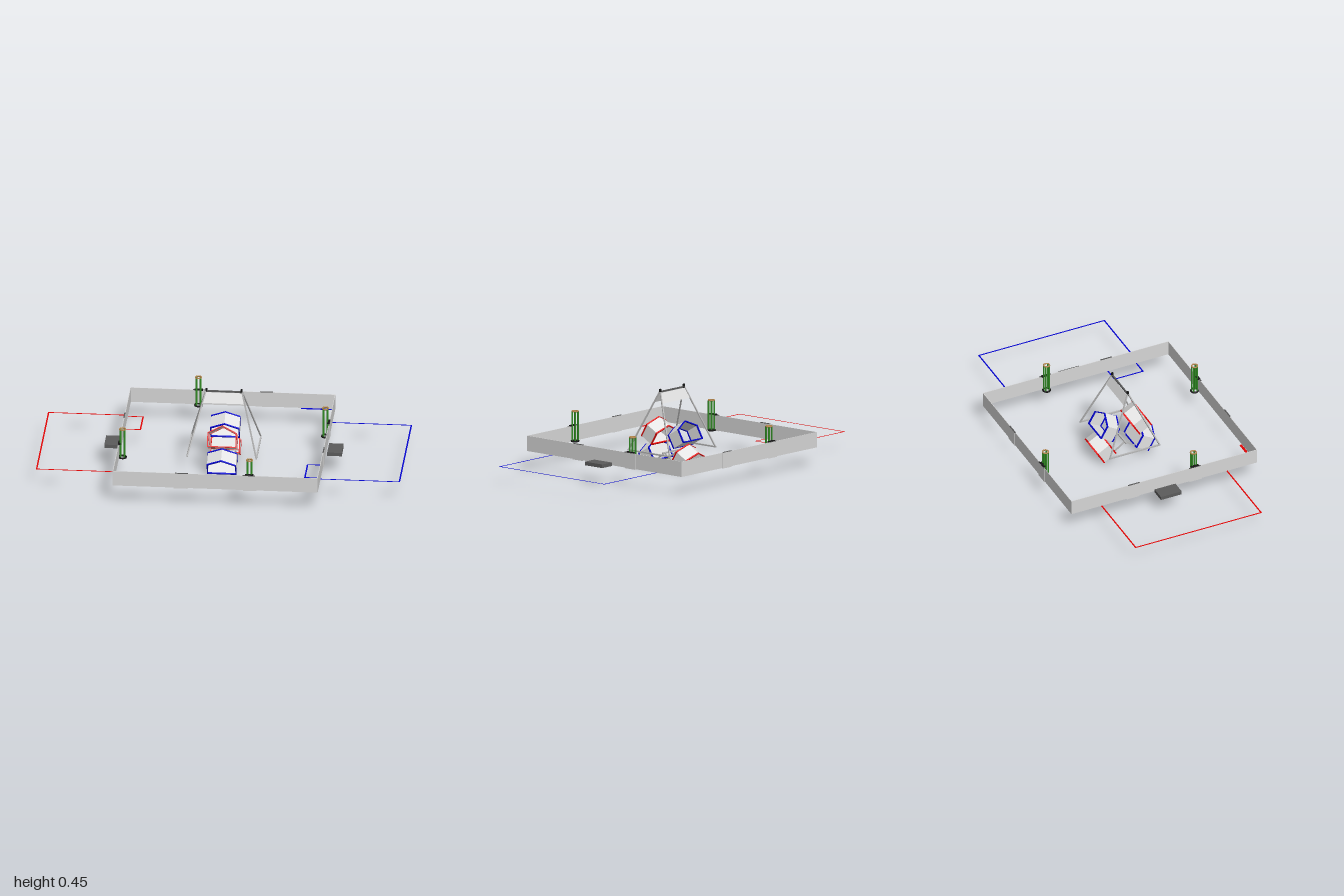
import * as THREE from 'three';

const mat = (name, color, side = THREE.FrontSide) => {
  const m = new THREE.MeshStandardMaterial({ color, side });
  m.name = name;
  return m;
};

export function createModel() {
  const root = new THREE.Group();
  const wallGrey = mat('wallGrey', 0xd6d6d6);
  const panelGrey = mat('panelGrey', 0xe2e2e2, THREE.DoubleSide);
  const frameGrey = mat('frameGrey', 0xb8b8b8);
  const plateGrey = mat('plateGrey', 0x5c5c5c);
  const black = mat('black', 0x161616);
  const red = mat('red', 0xe40404);
  const blue = mat('blue', 0x0404d0);
  const green = mat('green', 0x2f8a22);
  const tan = mat('tan', 0xb88a50);

  const add = (name, geo, m, parent, x = 0, y = 0, z = 0) => {
    const mesh = new THREE.Mesh(geo, m);
    mesh.name = name;
    mesh.position.set(x, y, z);
    parent.add(mesh);
    return mesh;
  };
  const box = (name, w, h, d, m, parent, x, y, z) =>
    add(name, new THREE.BoxGeometry(w, h, d), m, parent, x, y, z);
  // square bar between two points, in the parent's own frame
  const bar = (name, a, b, t, m, parent) => {
    const p = new THREE.Vector3(...a), q = new THREE.Vector3(...b);
    const mid = p.clone().add(q).multiplyScalar(0.5);
    const mesh = box(name, t, t, p.distanceTo(q), m, parent, mid.x, mid.y, mid.z);
    mesh.quaternion.setFromUnitVectors(new THREE.Vector3(0, 0, 1), q.sub(p).normalize());
  };
  const floor = 0.107, W = 0.563;

  // perimeter walls, with joint plates on the outside
  for (let i = 0; i < 4; i++) {
    const side = new THREE.Group();
    side.name = 'wallSide';
    side.rotation.y = i * Math.PI / 2;
    root.add(side);
    box('wall', 2 * W, 0.085, 0.003, wallGrey, side, 0, 0.1495, W - 0.0015);
    for (const s of [-1, 1]) {
      box('jointPlate', 0.075, 0.088, 0.003, wallGrey, side, s * 0.19, 0.148, W + 0.0015);
      box('jointClip', 0.07, 0.003, 0.006, plateGrey, side, s * 0.185, 0.1935, W);
    }
    // post made of rods between two rings
    const post = new THREE.Group();
    post.name = 'post';
    post.position.set(0.187, 0, 0.541);
    side.add(post);
    for (let k = 0; k < 4; k++) {
      const a = Math.PI / 4 + k * Math.PI / 2;
      add('postRod', new THREE.CylinderGeometry(0.0045, 0.0045, 0.166, 8), green, post,
        0.016 * Math.cos(a), floor + 0.085, 0.016 * Math.sin(a));
    }
    const ring = (name, y, radius, tube, m) => {
      const r = add(name, new THREE.TorusGeometry(radius, tube, 6, 20), m, post, 0, y, 0);
      r.rotation.x = Math.PI / 2;
    };
    ring('topRing', 0.277, 0.0165, 0.004, tan);
    ring('bottomRing', floor + 0.004, 0.02, 0.005, black);
    box('postBracket', 0.045, 0.007, 0.014, black, post, 0, 0.196, 0.017);
  }

  // floor tape outlines and side plates, one set per colour
  const outline = (name, x0, x1, z0, z1, t, m, parent) => {
    const xm = (x0 + x1) / 2, zm = (z0 + z1) / 2;
    for (const z of [z0, z1]) box(name, x1 - x0, 0.0006, t, m, parent, xm, floor, z);
    box(name, t, 0.0006, z1 - z0 + t, m, parent, x1 - t / 2, floor, zm);
  };
  for (const [m, turn] of [[blue, 0], [red, Math.PI]]) {
    const zone = new THREE.Group();
    zone.name = 'tapeZones';
    zone.rotation.y = turn;
    root.add(zone);
    outline('outerZone', W, 1, -0.38, 0.38, 0.008, m, zone);
    const inner = new THREE.Group();
    inner.name = 'innerZoneGroup';
    inner.rotation.y = Math.PI;
    zone.add(inner);
    outline('innerZone', -0.56, -0.472, -0.366, -0.194, 0.008, m, inner);
    box('cornerTape', 0.182, 0.001, 0.014, m, zone, 0.467, floor + 0.0005, -0.551);
    box('sidePlate', 0.08, 0.02, 0.126, plateGrey, zone, 0.612, 0.115, 0);
  }

  // central A-frame
  const frame = new THREE.Group();
  frame.name = 'aFrame';
  root.add(frame);
  for (const s of [-1, 1]) {
    for (const f of [-1, 1])
      bar('leg', [s * 0.19, 0.112, f * 0.15], [s * 0.1, 0.44, f * 0.003], 0.007, frameGrey, frame);
    bar('baseRail', [s * 0.19, 0.112, -0.153], [s * 0.19, 0.112, 0.153], 0.008, frameGrey, frame);
    box('apexKnob', 0.01, 0.028, 0.009, black, frame, s * 0.097, 0.443, 0);
    // sloping banner panel on each face
    const panel = new THREE.Shape([[-0.1, 0], [-0.114, -0.06], [0.114, -0.06], [0.1, 0]]
      .map(p => new THREE.Vector2(...p)));
    const holder = new THREE.Group();
    holder.name = 'topPanelGroup';
    holder.rotation.y = s > 0 ? 0 : Math.PI;
    frame.add(holder);
    add('topPanel', new THREE.ShapeGeometry(panel), panelGrey, holder, 0, 0.436, 0.006)
      .rotation.x = -0.42;
  }
  bar('topBar', [-0.1, 0.441, 0], [0.1, 0.441, 0], 0.008, plateGrey, frame);
  bar('pivotBar', [-0.08, 0.095, 0], [0.08, 0.095, 0], 0.008, frameGrey, frame);

  // open house-shaped chute, with coloured rims at both ends
  const housePoints = (o) => [[0, 0.06 - o], [-0.08 + o, 0.02 - o * 0.6], [-0.08 + o, -0.06 + o],
    [0.08 - o, -0.06 + o], [0.08 - o, 0.02 - o * 0.6]].map(p => new THREE.Vector2(...p));
  const shell = (outer, inner, depth) => {
    const shape = new THREE.Shape(housePoints(outer));
    shape.holes.push(new THREE.Path(housePoints(inner)));
    return new THREE.ExtrudeGeometry(shape, { depth, bevelEnabled: false });
  };
  const chute = (parent, m, y, z, tilt) => {
    const g = new THREE.Group();
    g.name = 'chute';
    g.position.set(0, y, z);
    g.rotation.x = tilt;
    parent.add(g);
    add('chuteShell', shell(0.001, 0.003, 0.08), panelGrey, g, 0, 0, -0.083);
    for (const d of [-0.088, -0.007]) add('chuteRim', shell(-0.001, 0.005, 0.008), m, g, 0, 0, d);
    return g;
  };
  for (const [upper, lower, turn] of [[red, blue, 0], [blue, red, Math.PI]]) {
    const pair = new THREE.Group();
    pair.name = 'chutePair';
    pair.rotation.y = turn;
    root.add(pair);
    chute(pair, upper, 0.227, 0.125, -Math.PI / 6);
    const low = chute(pair, lower, 0.057, 0.165, Math.PI / 6);
    const back = new THREE.Shape(housePoints(0.003));
    add('chuteBack', new THREE.ShapeGeometry(back), panelGrey, low, 0, 0, -0.082);
    // struts from the pivot to the lower chute
    for (const s of [-1, 1])
      bar('chuteStrut', [s * 0.06, 0.095, 0], [s * 0.06, 0.052, 0.06], 0.007, frameGrey, pair);
  }
  return root;
}
